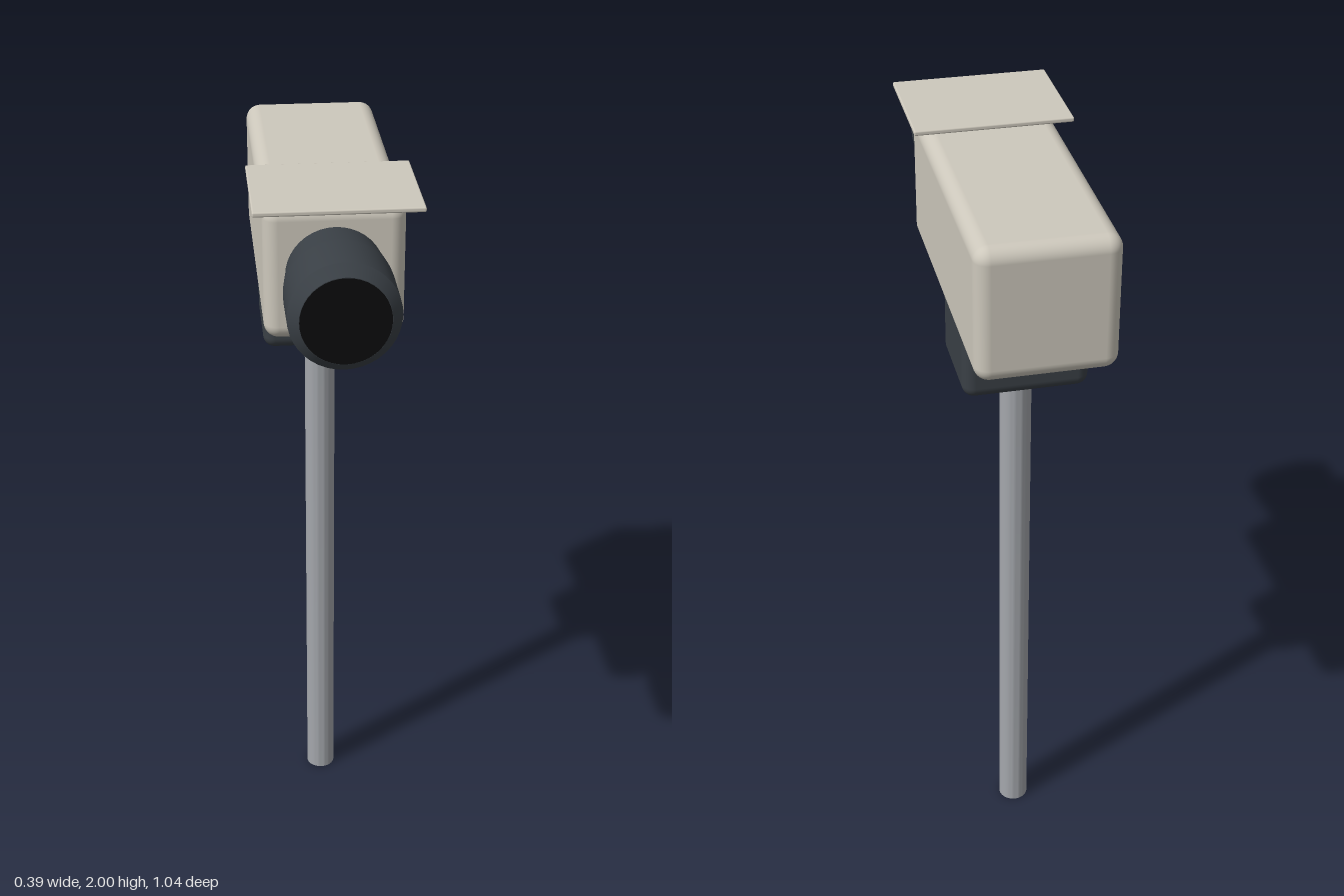
import * as THREE from 'three';
import { RoundedBoxGeometry } from 'three/addons/geometries/RoundedBoxGeometry.js';
import { toCreasedNormals } from 'three/addons/utils/BufferGeometryUtils.js';

const material = (name, color) => Object.assign(new THREE.MeshStandardMaterial({ color }), { name });

export function createModel() {
  const group = new THREE.Group();
  group.name = 'poleCamera';
  const casing = material('warm grey casing', 0xcdc8bc);
  const rubber = material('dark slate', 0x3a4046);
  const glass = material('black glass', 0x0b0b0c);
  const steel = material('steel grey', 0xa4a7ac);

  const add = (name, geometry, mat, x, y, z) => {
    const mesh = new THREE.Mesh(geometry, mat);
    mesh.name = name;
    mesh.position.set(x, y, z);
    group.add(mesh);
    return mesh;
  };
  // Lathe from [radius, height] pairs, keeping hard edges sharp
  const turned = (points) => toCreasedNormals(
    new THREE.LatheGeometry(points.map(([r, h]) => new THREE.Vector2(r, h)), 40), 0.45);

  // Casing and sun visor
  add('body', new RoundedBoxGeometry(0.336, 0.336, 0.778, 5, 0.036), casing, 0, 1.802, -0.132);
  add('visor', new RoundedBoxGeometry(0.392, 0.012, 0.31, 2, 0.004), casing, 0, 1.994, 0.205);

  // Lens barrel: narrow at the casing, chamfered at the front rim
  const barrel = add('lensBarrel', turned([
    [0, 0], [0.116, 0], [0.118, 0.03], [0.129, 0.115], [0.13, 0.13],
    [0.13, 0.256], [0.105, 0.281], [0, 0.281],
  ]), rubber, 0, 1.802, 0.238);
  barrel.rotation.x = Math.PI / 2;
  add('lensGlass', new THREE.CircleGeometry(0.104, 40), glass, 0, 1.802, 0.5205);

  // Mounting block under the casing
  add('mount', new RoundedBoxGeometry(0.31, 0.195, 0.256, 5, 0.03), rubber, 0, 1.5595, -0.183);

  // Hollow pole, open at the foot
  add('pole', turned([
    [0.029, 1.48], [0.029, 0], [0.04, 0], [0.04, 1.48],
  ]), steel, 0, 0, -0.183);

  return group;
}
